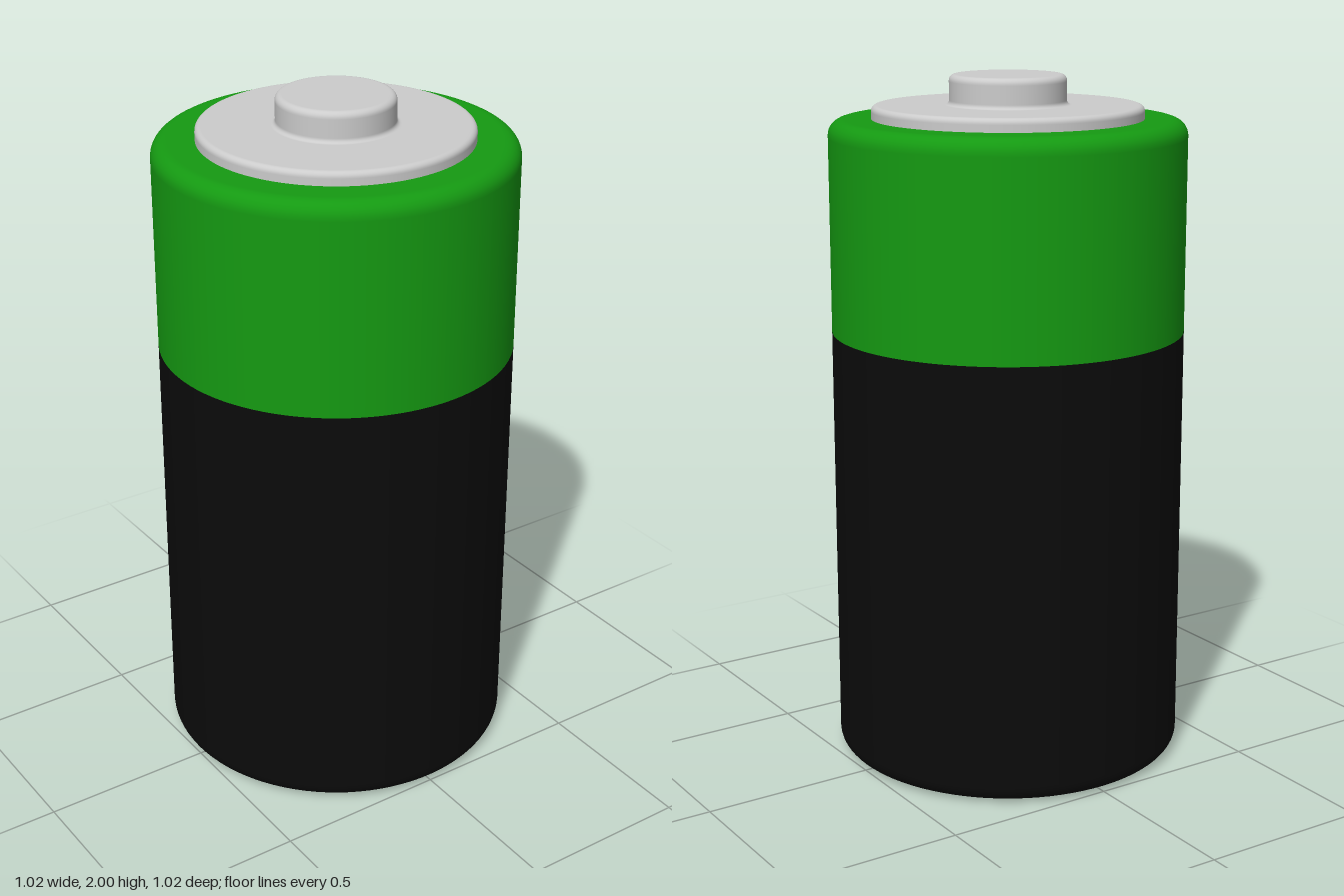
import * as THREE from 'three';

const SEGMENTS = 96;

// Turns an outline of [radius, height, fillet] corners into a smooth lathed solid.
function turned(name, color, corners) {
  const points = [];
  corners.forEach(([r, y, fillet = 0], i) => {
    const corner = new THREE.Vector2(r, y);
    if (!fillet) {
      points.push(corner);
      return;
    }
    const toward = ([tr, ty], d) =>
      new THREE.Vector2(tr, ty).sub(corner).normalize().multiplyScalar(d).add(corner);
    const [before, after] = [corners[i - 1], corners[i + 1]];
    const start = toward(before, fillet);
    const end = toward(after, fillet);
    // The extra point on each side keeps the flat faces evenly shaded
    points.push(toward(before, fillet * 1.1));
    const center = start.clone().add(end).sub(corner);
    for (let k = 0; k <= 8; k++) {
      const a = (k / 8) * Math.PI / 2;
      points.push(center.clone()
        .addScaledVector(start.clone().sub(center), Math.cos(a))
        .addScaledVector(end.clone().sub(center), Math.sin(a)));
    }
    points.push(toward(after, fillet * 1.1));
  });
  const mesh = new THREE.Mesh(
    new THREE.LatheGeometry(points, SEGMENTS),
    new THREE.MeshStandardMaterial({ color, side: THREE.DoubleSide })
  );
  mesh.name = name;
  return mesh;
}

export function createModel() {
  const model = new THREE.Group();
  model.name = 'battery';

  // Black lower sleeve with a closed, rounded base
  model.add(turned('lowerSleeve', 0x0b0b0b, [
    [0, 0], [0.28, 0], [0.3, 0.005], [0.51, 0.005, 0.045], [0.51, 1.27],
  ]));

  // Green upper sleeve, rounded over at the shoulder
  model.add(turned('upperSleeve', 0x159a12, [
    [0.51, 1.27], [0.51, 1.877, 0.045], [0.36, 1.877],
  ]));

  // Metal cap: wide disc, soft inner corner and raised contact button
  model.add(turned('positiveTerminal', 0xcccccc, [
    [0.387, 1.87], [0.387, 1.915, 0.016], [0.167, 1.915, 0.012],
    [0.167, 2, 0.018], [0, 2],
  ]));

  return model;
}
